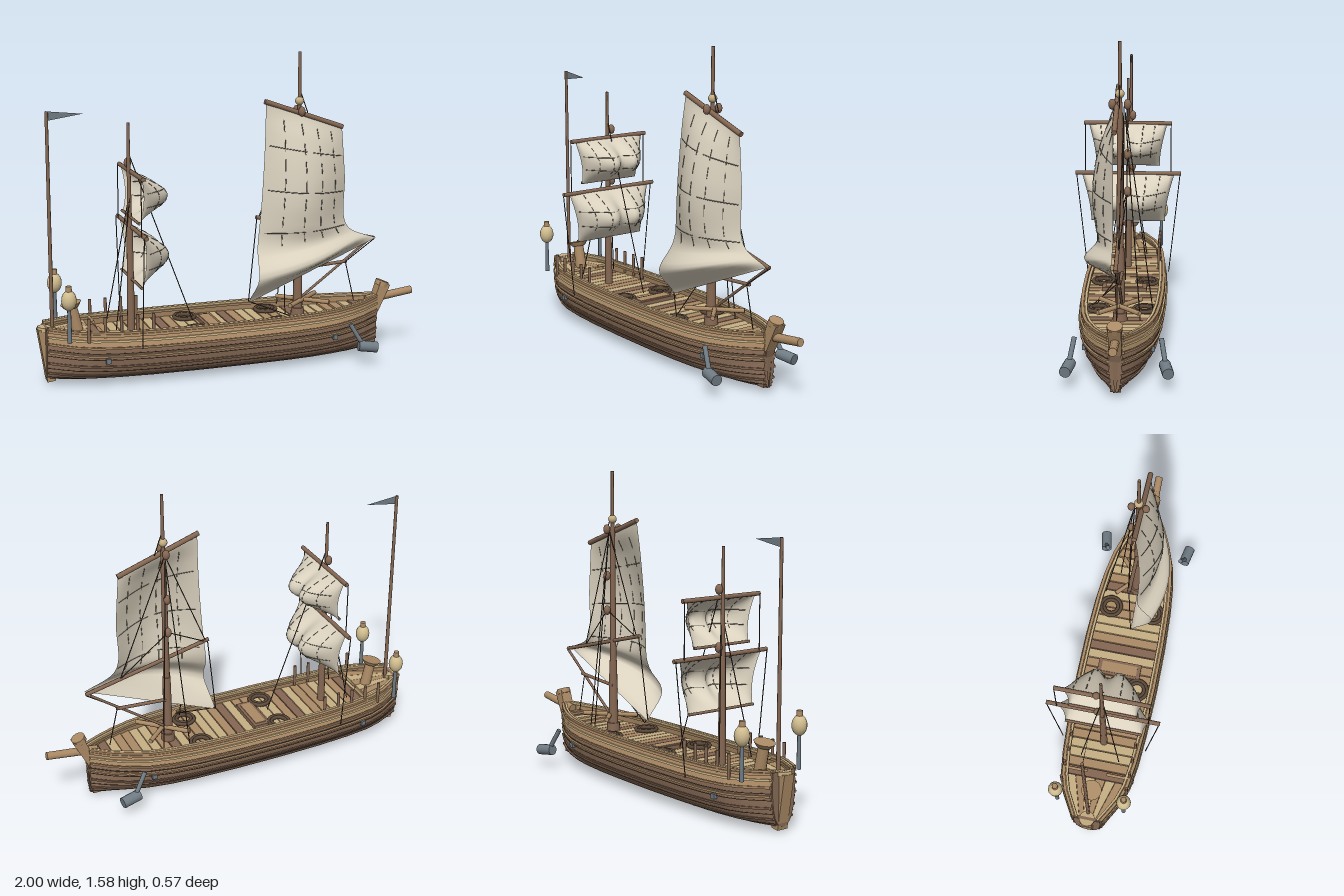
import * as THREE from 'three';
import { ParametricGeometry } from 'three/addons/geometries/ParametricGeometry.js';

const mat = (name, color, side = THREE.FrontSide) => {
  const m = new THREE.MeshStandardMaterial({ color, side });
  m.name = name;
  return m;
};
const M = {
  pale: mat('paleTimber', 0xc8b084), tan: mat('tanTimber', 0xac8b66),
  brown: mat('brownTimber', 0x866853), hull: mat('hullTimber', 0x876a55),
  dark: mat('darkTimber', 0x5c4a3a), rope: mat('rope', 0x4a3e34),
  canvas: mat('canvas', 0xdad1be, THREE.DoubleSide), stitch: mat('stitching', 0x6b655b),
  metal: mat('slateMetal', 0x707c84, THREE.DoubleSide), lamp: mat('lampGlass', 0xd2be90),
};
const V = (x, y, z) => new THREE.Vector3(x, y, z);
const { clamp, lerp: mix, smoothstep } = THREE.MathUtils;

// Linear lookup in a table of [key, value] pairs
const lookup = (table, k) => {
  let i = 0;
  while (i < table.length - 2 && k > table[i + 1][0]) i++;
  const [a, b] = [table[i], table[i + 1]];
  return mix(a[1], b[1], clamp((k - a[0]) / (b[0] - a[0]), 0, 1));
};

// Flat-shaded closed solid through a row of rings, always facing outward
function loft(rings) {
  const tris = [], n = rings[0].length;
  for (let i = 0; i < rings.length - 1; i++) for (let j = 0; j < n; j++) {
    const k = (j + 1) % n, a = rings[i], b = rings[i + 1];
    tris.push([a[j], b[j], b[k]], [a[j], b[k], a[k]]);
  }
  const first = rings[0], last = rings[rings.length - 1];
  for (let j = 1; j < n - 1; j++) {
    tris.push([first[0], first[j], first[j + 1]], [last[0], last[j + 1], last[j]]);
  }
  const volume = tris.reduce((s, [a, b, c]) => s + a.dot(b.clone().cross(c)), 0);
  if (volume < 0) tris.forEach((t) => t.reverse());
  const geo = new THREE.BufferGeometry().setFromPoints(tris.flat());
  geo.computeVertexNormals();
  return geo;
}

// Hull form: half-breadth along x, section from keel to rail, sheer at the ends
const breadth = [[-0.96, 0.07], [-0.9, 0.105], [-0.83, 0.145], [-0.75, 0.172], [-0.62, 0.19], [-0.45, 0.201],
  [-0.2, 0.208], [0.05, 0.206], [0.25, 0.197], [0.4, 0.182], [0.52, 0.158], [0.62, 0.122], [0.7, 0.083], [0.79, 0.028]];
const sectionF = [[0, 0.05], [0.15, 0.4], [0.3, 0.68], [0.45, 0.86], [0.6, 0.95], [0.8, 1], [1, 0.95]];
const sectionY = [[0, 0.006], [0.15, 0.016], [0.3, 0.045], [0.45, 0.09], [0.6, 0.14], [0.8, 0.205], [1, 0.268]];
const w = (x) => lookup(breadth, x);
const rise = (x) => (x > 0 ? 0.032 : 0.014) * (x / 0.85) ** 4;
const hullPoint = (x, t, out, s) => V(x, lookup(sectionY, t) + rise(x), s * Math.max(0.002, w(x) * lookup(sectionF, t) + out));

export function createModel() {
  const ship = new THREE.Group();
  ship.name = 'sailingShip';
  const add = (geo, m, name) => {
    const mesh = new THREE.Mesh(geo, m);
    mesh.name = name;
    ship.add(mesh);
    return mesh;
  };
  const rod = (a, b, r0, r1, m, name, sides = 8) => {
    const d = b.clone().sub(a);
    const mesh = add(new THREE.CylinderGeometry(r1, r0, d.length(), sides), m, name);
    mesh.position.copy(a).addScaledVector(d, 0.5);
    mesh.quaternion.setFromUnitVectors(V(0, 1, 0), d.normalize());
  };
  const line = (a, b) => rod(V(...a), V(...b), 0.0027, 0.0027, M.rope, 'riggingLine', 5);
  const box = (sx, sy, sz, x, y, z, m, name) => {
    add(new THREE.BoxGeometry(sx, sy, sz), m, name).position.set(x, y, z);
  };
  const ball = (r, x, y, z, m, name, sy = 1) => {
    const mesh = add(new THREE.SphereGeometry(r, 14, 10), m, name);
    mesh.position.set(x, y, z);
    mesh.scale.y = sy;
  };
  const profile = (pts, depth, m, name) => {
    const shape = new THREE.Shape(pts.map((p) => new THREE.Vector2(...p)));
    const geo = new THREE.ExtrudeGeometry(shape, { depth, bevelEnabled: false });
    add(geo.translate(0, 0, -depth / 2), m, name);
  };

  // Hull planks and wales follow the hull form on both sides
  const strip = (t0, t1, outLow, outHigh, inner, m, name) => [1, -1].forEach((s) => {
    add(loft(breadth.map(([x]) => [hullPoint(x, t0, outLow, s), hullPoint(x, t1, outHigh, s),
      hullPoint(x, t1, inner, s), hullPoint(x, t0, inner, s)])), m, name);
  });
  const strakes = 10;
  for (let i = 0; i < strakes; i++) {
    const t = i / strakes;
    strip(t, t + 1 / strakes, 0.007, 0, -0.014, i > 7 ? M.tan : M.hull, 'hullPlank');
    strip(t - 0.006, t + 0.006, 0.0085, 0.0085, 0, M.dark, 'plankSeam');
  }
  [[0.3, M.hull], [0.47, M.hull], [0.64, M.tan], [0.77, M.tan], [0.88, M.pale]].forEach(([t, m]) => strip(t, t + 0.032, 0.014, 0.014, -0.004, m, 'wale'));
  strip(0.96, 1.03, 0.012, 0.012, -0.022, M.tan, 'rail');
  [[0.012, -0.004, M.tan], [-0.007, -0.02, M.pale]].forEach(([o1, o0, m]) => [1, -1].forEach((s) => add(loft(breadth.map(([x]) => {
    const y = 0.27 + rise(x), z = w(x) * 0.95;
    return [[o1, 0], [o1, 0.01], [o0, 0.01], [o0, 0]].map(([o, h]) => V(x, y + h, s * Math.max(0.002, z + o)));
  })), m, 'railCap')));
  const transom = (x) => [1, -1].flatMap((s) => {
    const side = [0, 0.15, 0.3, 0.45, 0.6, 0.8, 1].map((t) => hullPoint(x, t, 0, s));
    return s > 0 ? side : side.reverse();
  });
  add(loft([transom(-0.965), transom(-0.95)]), M.hull, 'transom');
  box(1.2, 0.012, 0.03, -0.08, 0.008, 0, M.dark, 'keel');

  // Stem, stern post and bowsprit
  profile([[0.74, 0.03], [0.78, 0.03], [0.79, 0.18], [0.8, 0.215], [0.755, 0.215]], 0.05, M.hull, 'stemPost');
  profile([[0.755, 0.215], [0.8, 0.215], [0.865, 0.35], [0.81, 0.37]], 0.06, M.tan, 'stemHead');
  rod(V(0.825, 0.345, 0), V(0.835, 0.37, 0), 0.036, 0.036, M.tan, 'stemCap', 14);
  profile([[-0.92, 0.02], [-0.96, 0.015], [-1.0, 0.28], [-0.93, 0.285]], 0.06, M.tan, 'sternPost');
  rod(V(-0.96, 0.27, 0), V(-0.958, 0.29, 0), 0.04, 0.04, M.pale, 'sternCap', 14);
  rod(V(0.74, 0.275, 0), V(1.0, 0.308, 0), 0.022, 0.02, M.tan, 'bowsprit', 10);

  // Deck planks run athwartships, with a raised stern deck
  const deckTones = [M.pale, M.tan, M.pale, M.brown, M.tan, M.pale, M.tan];
  const plank = (x0, x1, y, m, z0 = -1, z1 = 1) => add(loft([x0, x1].map((x) => {
    const h = Math.max(0.004, w(x) * 0.95 - 0.008);
    return [V(x, y, z0 * h), V(x, y, z1 * h), V(x, y - 0.02, z1 * h), V(x, y - 0.02, z0 * h)];
  })), m, 'deckPlank');
  box(1.4, 0.01, 0.14, -0.05, 0.212, 0, M.dark, 'deckBase');
  for (let i = 0; i < 31; i++) {
    const x = -0.78 + i * 0.05;
    plank(x, x + 0.045, 0.23 + Math.max(0, x - 0.45) * 0.12, deckTones[(i * 3) % 7]);
  }
  for (let i = 0; i < 6; i++) plank(-0.955, -0.74, 0.262, [M.pale, M.tan][i % 2], -1 + i / 3, -0.68 + i / 3);
  box(0.085, 0.02, 0.23, -0.125, 0.238, 0, M.brown, 'hatchFrame');
  box(0.055, 0.024, 0.19, -0.125, 0.24, 0, M.tan, 'hatchCover');
  [[-0.22, 0.115], [-0.22, -0.115], [0.22, 0.115], [0.22, -0.115]].forEach(([x, z]) => [0.054, 0.038].forEach((r) => {
    const coil = add(new THREE.TorusGeometry(r, 0.01, 6, 20), M.dark, 'ropeCoil');
    coil.rotation.x = Math.PI / 2;
    coil.position.set(x, 0.242, z);
  }));

  // Stern fittings: leaning bollard, pin posts, lanterns and pennant
  rod(V(-0.8, 0.25, 0), V(-0.828, 0.38, 0), 0.03, 0.027, M.tan, 'bollardPost', 10);
  rod(V(-0.827, 0.376, 0), V(-0.832, 0.398, 0), 0.036, 0.052, M.tan, 'bollardHead', 14);
  [1, -1].forEach((s) => {
    for (let i = 0; i < 5; i++) {
      const x = -0.78 + i * 0.08;
      rod(V(x, 0.24, s * 0.17), V(x, 0.36, s * 0.17), 0.008, 0.008, M.brown, 'pinPost');
    }
    rod(V(-0.71, 0.275, s * 0.05), V(-0.71, 0.275, s * 0.18), 0.008, 0.008, M.tan, 'pinRail');
    rod(V(-0.875, 0.25, s * 0.175), V(-0.875, 0.42, s * 0.175), 0.011, 0.009, M.metal, 'lanternPole');
    ball(0.037, -0.875, 0.46, s * 0.175, M.lamp, 'lanternGlobe', 1.35);
    rod(V(-0.875, 0.5, s * 0.175), V(-0.875, 0.53, s * 0.175), 0.016, 0.014, M.tan, 'lanternCap', 10);

    // Anchor arms and weights beside the bow
    rod(V(0.565, 0.215, s * 0.205), V(0.63, 0.1, s * 0.228), 0.012, 0.012, M.metal, 'anchorArm');
    rod(V(0.605, 0.102, s * 0.222), V(0.7, 0.09, s * 0.24), 0.028, 0.028, M.metal, 'anchorWeight', 12);
    [-0.69, 0.5].forEach((x) => box(0.024, 0.024, 0.02, x, 0.142, s * (w(x) * 0.95 + 0.01), M.metal, 'hullPort'));
  });
  rod(V(-0.925, 0.26, 0), V(-0.925, 1.34, 0), 0.01, 0.008, M.brown, 'flagPole');
  add(new THREE.ShapeGeometry(new THREE.Shape([[-0.925, 1.34], [-0.925, 1.295], [-0.75, 1.322]].map((p) => new THREE.Vector2(...p)))), M.metal, 'pennant');

  // Sail cloth with dashed seams down the cloth and long seams across it
  const sail = (fn, us, vs, name) => {
    add(new ParametricGeometry((u, v, p) => p.copy(fn(u, v)), 24, 36), M.canvas, name);
    const seam = (f, dashes, fill) => {
      for (let k = 0; k < dashes; k++) {
        const pts = [0, 0.25, 0.5, 0.75, 1].map((d) => f((k + 0.1 + d * fill) / dashes));
        add(new THREE.TubeGeometry(new THREE.CatmullRomCurve3(pts), 8, 0.0024, 4), M.stitch, 'sailSeam');
      }
    };
    us.forEach((u) => seam((t) => fn(u, t * 0.72 + 0.04), 7, 0.62));
    vs.forEach((v) => seam((t) => fn(t, v), 2, 0.85));
  };
  const block = (x, y, z) => ball(0.018, x, y, z, M.brown, 'pulleyBlock', 1.4);

  // Main mast with large fore-and-aft sail, its foot billowing below the lower yard
  const mx = 0.355;
  rod(V(mx, 0.2, 0), V(mx, 0.6, 0), 0.026, 0.02, M.brown, 'mainLowerMast', 12);
  rod(V(mx, 0.58, 0), V(mx, 1.3, 0), 0.017, 0.013, M.brown, 'mainMast', 10);
  rod(V(mx, 1.28, 0), V(mx, 1.585, 0), 0.01, 0.008, M.brown, 'mainTopmast');
  rod(V(0.165, 1.345, 0.015), V(0.585, 1.2, 0.015), 0.013, 0.013, M.brown, 'mainUpperYard');
  rod(V(0.125, 0.76, 0), V(0.78, 0.605, 0), 0.01, 0.01, M.brown, 'mainLowerYard');
  rod(V(0.34, 0.47, -0.01), V(0.63, 0.49, -0.01), 0.009, 0.009, M.brown, 'mainBoom');
  rod(V(0.38, 0.32, -0.01), V(0.76, 0.6, -0.01), 0.007, 0.007, M.brown, 'mainStrut');
  [1, -1].forEach((s) => rod(V(0.275, 0.31, -0.1 * s), V(0.49, 0.31, 0.1 * s), 0.012, 0.012, M.tan, 'windlassBar'));
  rod(V(mx, 0.23, 0), V(mx, 0.27, 0), 0.036, 0.033, M.brown, 'mastCollar', 12);
  const luff = new THREE.CatmullRomCurve3([V(0.17, 1.33, 0), V(0.15, 1, 0), V(0.125, 0.68, 0), V(0.08, 0.32, 0)]);
  const leech = new THREE.CatmullRomCurve3([V(0.58, 1.2, 0), V(0.6, 0.95, 0), V(0.615, 0.69, 0), V(0.78, 0.61, 0)]);
  const belly = new THREE.SplineCurve([0, 0.05, 0.085, 0.105, 0.11, 0.1, 0.09, 0.155, 0].map((b, i) => new THREE.Vector2(i, b)));
  sail((u, v) => {
    const p = luff.getPoint(v).lerp(leech.getPoint(v), u);
    const edge = mix(0.08, 0.24, smoothstep(v, 0.68, 0.86));
    p.z = 0.02 + belly.getPoint(v).y * Math.sin(Math.PI * mix(edge, 1, u));
    return p;
  }, [0.22, 0.45, 0.65, 0.84], [0.2, 0.43, 0.66], 'mainSail');
  ball(0.022, mx, 1.34, 0, M.pale, 'mastKnob');
  [[1.29, 0.036], [1.29, -0.036], [1.05, -0.036], [0.87, -0.036]].forEach(([y, z]) => block(mx, y, z));
  [[0.14, 0.75], [0.6, 0.65]].forEach(([x, y]) => line([mx, 1.28, -0.02], [x, y, -0.005]));
  line([mx, 1.4, 0], [0.4, 1.28, 0]);
  [[0.3, -0.16], [0.42, -0.1]].forEach(([x, z]) => line([mx, 1.25, -0.025], [x, 0.25, z]));
  line([mx, 0.87, -0.036], [0.14, 0.75, -0.005]);
  line([mx, 0.87, -0.036], [0.6, 0.65, -0.005]);
  line([0.13, 0.75, 0], [0.08, 0.33, 0.02]);
  line([0.08, 0.33, 0.02], [0.26, 0.27, 0.14]);
  line([0.27, 0.4, 0.03], [0.24, 0.27, 0.12]);
  line([0.62, 0.49, 0], [0.67, 0.28, 0]);
  line([0.78, 0.6, 0], [0.62, 0.49, 0]);

  // Mizzen mast with two square sails, each a pair of billowing lobes
  const zx = -0.53;
  rod(V(zx, 0.2, 0), V(zx, 0.75, 0), 0.02, 0.015, M.brown, 'mizzenLowerMast', 10);
  rod(V(zx, 0.74, 0), V(zx, 1.27, 0), 0.013, 0.007, M.brown, 'mizzenMast');
  [[1.03, 0.8, 0.235, 0.21, 0.17], [0.755, 0.49, 0.285, 0.25, 0.2]].forEach(([top, foot, yard, half, footHalf]) => {
    rod(V(zx + 0.01, top, -yard), V(zx + 0.01, top, yard), 0.011, 0.011, M.brown, 'mizzenYard');
    rod(V(zx + 0.005, foot + 0.005, -footHalf), V(zx + 0.005, foot + 0.005, footHalf), 0.007, 0.007, M.brown, 'mizzenFootSpar');
    sail((u, v) => {
      const lobes = 0.08 + 0.92 * Math.sin(Math.PI * u) ** 0.8 - 0.34 * Math.exp(-(((u - 0.5) / 0.1) ** 2));
      return V(zx + 0.01 + 0.19 * Math.sin(Math.PI * v) * lobes,
        mix(top, foot, v), mix(half, footHalf, Math.sin(v * Math.PI / 2)) * (2 * u - 1));
    }, [0.15, 0.3, 0.7, 0.85], [0.35, 0.65], 'mizzenSail');
    block(zx, top + 0.04, -0.025);
  });
  [1, -1].forEach((s) => {
    line([zx, 1.03, s * 0.23], [zx, 0.755, s * 0.23]);
    line([zx, 0.755, s * 0.28], [zx, 0.2, s * 0.222]);
    line([zx, 0.9, s * 0.01], [-0.63, 0.27, s * 0.1]);
  });
  line([zx, 1.12, 0], [-0.21, 0.25, 0]);
  return ship;
}
